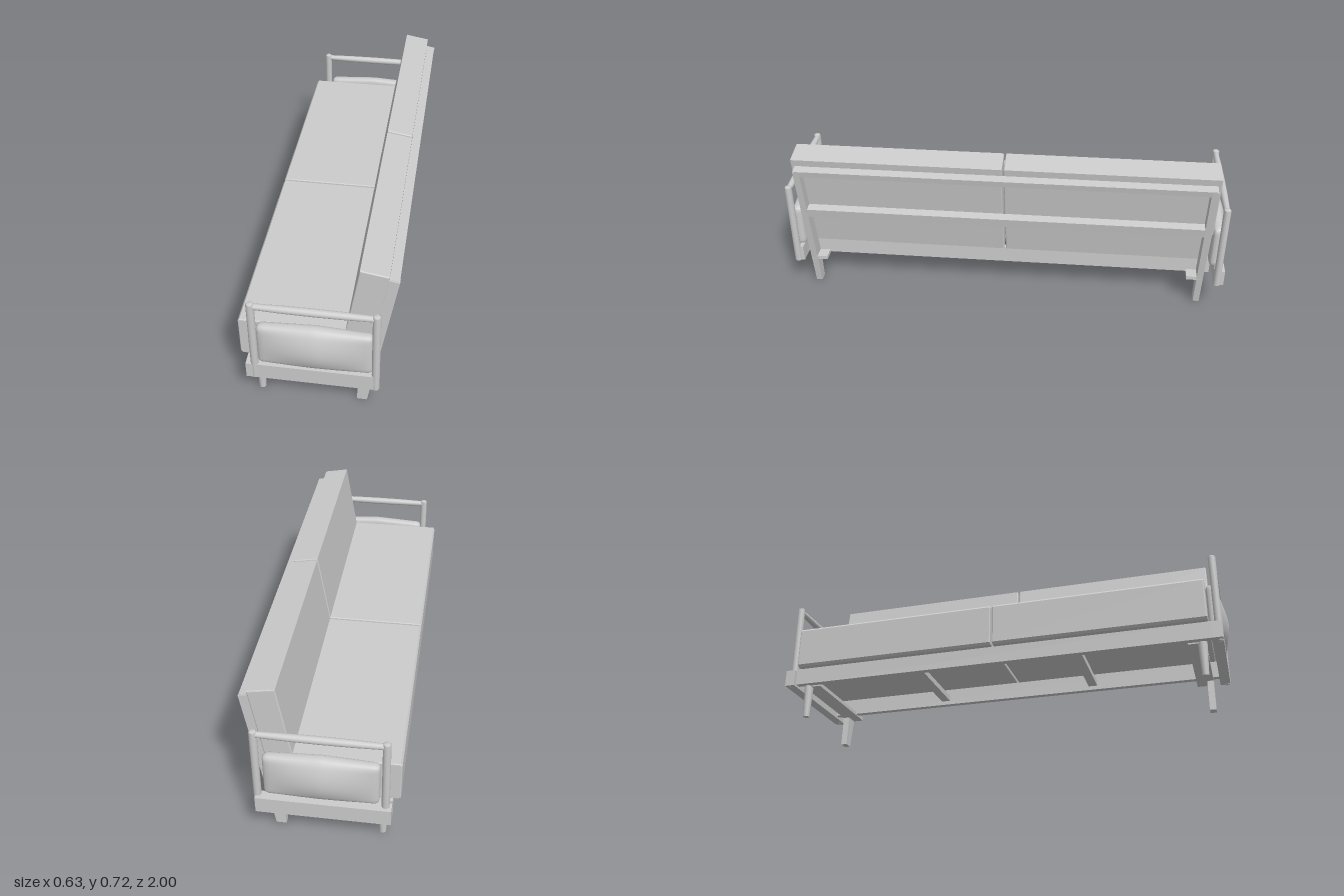
import * as THREE from 'three';
import { mergeVertices } from 'three/addons/utils/BufferGeometryUtils.js';

const material = new THREE.MeshStandardMaterial({ color: 0xcccccc });

function add(parent, name, geometry, x = 0, y = 0, z = 0) {
  const mesh = new THREE.Mesh(geometry, material);
  mesh.name = name;
  mesh.position.set(x, y, z);
  parent.add(mesh);
  return mesh;
}

// Box given by its limits on each axis
function bar(parent, name, [x0, x1], [y0, y1], [z0, z1]) {
  return add(parent, name, new THREE.BoxGeometry(x1 - x0, y1 - y0, z1 - z0),
    (x0 + x1) / 2, (y0 + y1) / 2, (z0 + z1) / 2);
}

// Side outline in x, y swept from z0 to z1, with softened edges
function slab(parent, name, points, z0, z1, bevel = 0) {
  const shape = new THREE.Shape(points.map(([x, y]) => new THREE.Vector2(x, y)));
  const geometry = new THREE.ExtrudeGeometry(shape, {
    depth: z1 - z0 - 2 * bevel, bevelEnabled: bevel > 0, bevelSize: bevel,
    bevelThickness: bevel, bevelOffset: -bevel, bevelSegments: 3,
  });
  return add(parent, name, geometry, 0, 0, z0 + bevel);
}

// Rounded pillow with a crowned top and an outward bulge (towards +z)
function pillowGeometry(width, height, depth) {
  let g = new THREE.BoxGeometry(width, height, depth, 28, 18, 6);
  g.deleteAttribute('normal');
  g.deleteAttribute('uv');
  g = mergeVertices(g);
  const pos = g.attributes.position;
  const r = 0.02;
  const half = new THREE.Vector3(width / 2 - r, height / 2 - r, depth / 2 - r);
  const p = new THREE.Vector3(), core = new THREE.Vector3();
  for (let i = 0; i < pos.count; i++) {
    p.fromBufferAttribute(pos, i);
    core.copy(p).clamp(half.clone().negate(), half);
    p.sub(core).setLength(r).add(core);
    const u = Math.min(1, Math.abs(2 * p.x / width));
    const v = Math.min(1, Math.abs(2 * p.y / height));
    if (p.z > 0) p.z += 0.033 * (1 - u ** 1.5) * (1 - v ** 2);
    if (p.y > 0) p.y += 0.013 * (1 - u) * (2 * p.y / height);
    pos.setXYZ(i, p.x, p.y, p.z);
  }
  g.computeVertexNormals();
  return g;
}

// Upright arm post with a slightly rounded top
function postGeometry(height) {
  const r = 0.016;
  const profile = [[0, 0], [r, 0], [r, height - 0.006], [r - 0.004, height - 0.001], [0, height]];
  return new THREE.LatheGeometry(profile.map(([x, y]) => new THREE.Vector2(x, y)), 20);
}

function arm(side, frontX, backX, top) {
  const group = new THREE.Group();
  group.name = side > 0 ? 'leftArm' : 'rightArm';
  const z = side * 0.962, mid = (frontX + backX) / 2, span = backX - frontX;
  for (const [name, x] of [['frontArmPost', frontX], ['backArmPost', backX]])
    add(group, name, postGeometry(top - 0.147), x, 0.147, z);

  // Armrest thickens towards the middle
  const profile = [[0.0125, -0.5], [0.0155, -0.25], [0.0165, 0], [0.0155, 0.25], [0.0125, 0.5]];
  const rest = add(group, 'armrest',
    new THREE.LatheGeometry(profile.map(([r, t]) => new THREE.Vector2(r, t * span)), 20),
    mid, top - 0.017, z);
  rest.rotation.z = Math.PI / 2;

  bar(group, 'sidePanel', [-0.283, backX + 0.006], [0.147, 0.221], [z - 0.03, z + 0.014]);

  const pillow = add(group, 'sidePillow', pillowGeometry(0.46, 0.2, 0.046), mid, 0.321, side * 0.944);
  if (side < 0) pillow.rotation.y = Math.PI;
  return group;
}

export function createModel() {
  const model = new THREE.Group();
  model.name = 'sofa';

  // Two seat and two back cushions, with a narrow gap between them
  for (const [z0, z1] of [[-0.922, -0.004], [0.004, 0.922]]) {
    slab(model, 'seatCushion',
      [[-0.305, 0.222], [-0.314, 0.232], [-0.315, 0.4], [-0.308, 0.409], [0.205, 0.409], [0.17, 0.222]],
      z0, z1, 0.005);
    slab(model, 'backCushion',
      [[0.111, 0.405], [0.165, 0.724], [0.275, 0.705], [0.222, 0.392]], z0, z1, 0.005);
  }

  // Base rails and cross slats
  bar(model, 'frontRail', [-0.283, -0.255], [0.147, 0.223], [-0.935, 0.935]);
  bar(model, 'backRail', [0.14, 0.166], [0.147, 0.223], [-0.935, 0.935]);
  for (const z of [-0.36, 0.36])
    bar(model, 'crossSlat', [-0.256, 0.141], [0.165, 0.19], [z - 0.02, z + 0.02]);

  for (const side of [-1, 1]) {
    // Flat bearer carrying the legs
    const inner = side * 0.83, outer = side * 0.905;
    bar(model, 'legBearer', [-0.255, 0.222], [0.141, 0.158],
      [Math.min(inner, outer), Math.max(inner, outer)]);

    // Round tapered front leg
    add(model, 'frontLeg', new THREE.CylinderGeometry(0.02, 0.014, 0.147, 20),
      -0.243, 0.0735, side * 0.89);

    // Back leg running up into the leaning back upright
    slab(model, 'backLegUpright',
      [[0.155, 0], [0.197, 0], [0.222, 0.145], [0.312, 0.666], [0.27, 0.674], [0.163, 0.155]],
      side * 0.891 - 0.014, side * 0.891 + 0.014);
  }

  // Back rails between the uprights
  slab(model, 'topBackRail',
    [[0.268, 0.646], [0.305, 0.64], [0.311, 0.668], [0.273, 0.675]], -0.9, 0.9);
  slab(model, 'middleBackRail',
    [[0.228, 0.416], [0.265, 0.408], [0.273, 0.45], [0.235, 0.457]], -0.89, 0.89);

  model.add(arm(1, -0.248, 0.237, 0.545), arm(-1, -0.258, 0.251, 0.55));
  return model;
}
